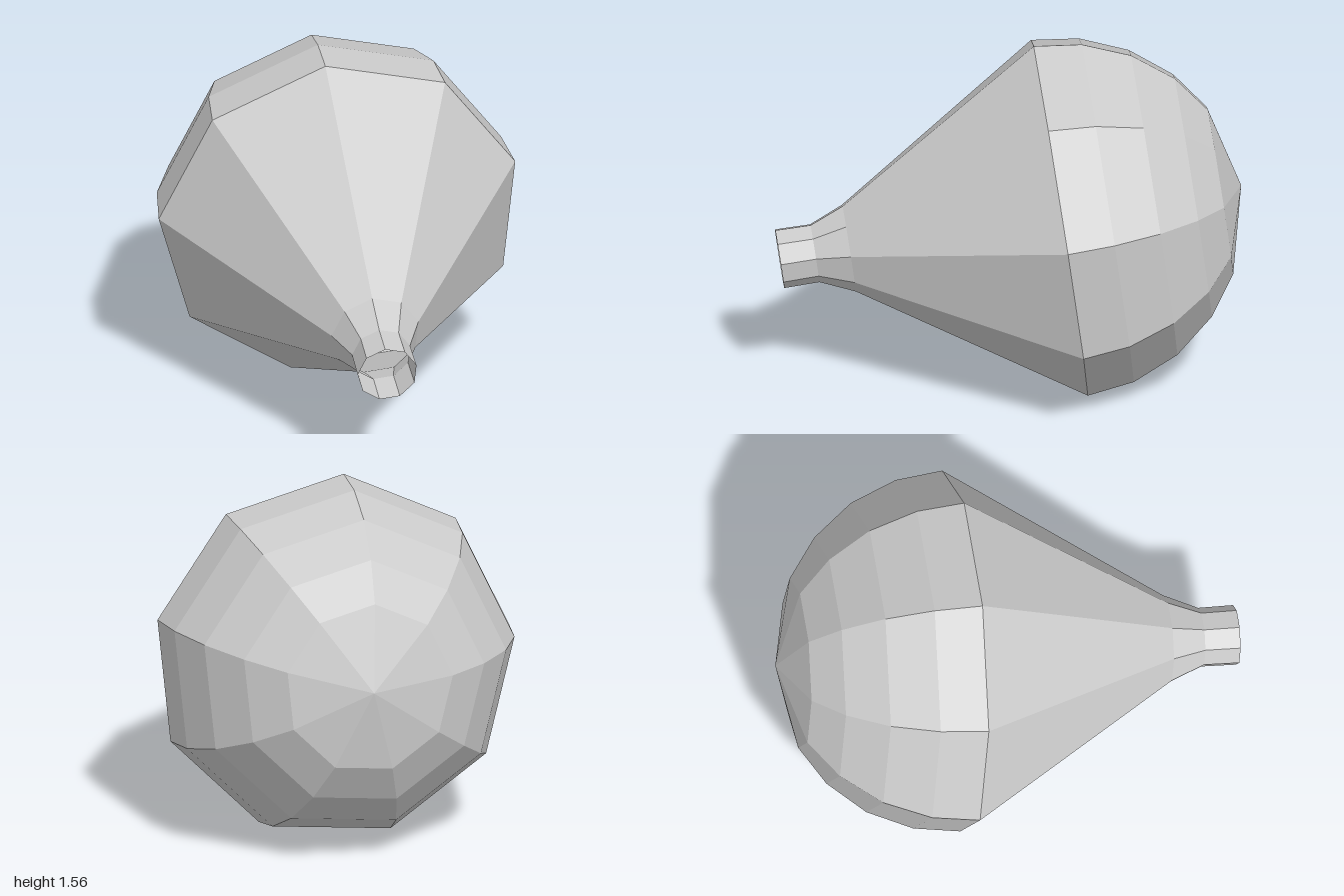
import * as THREE from 'three';

const SIDES = 9;
const RADIUS = 0.8;

// Faceted shell of revolution from [radius, distance along axis] pairs
function shell(name, profile, material) {
  const points = profile.map(([r, t]) => new THREE.Vector2(r, t));
  const mesh = new THREE.Mesh(new THREE.LatheGeometry(points, SIDES), material);
  mesh.name = name;
  return mesh;
}

export function createModel() {
  const group = new THREE.Group();
  group.name = 'bulb';
  const material = new THREE.MeshStandardMaterial({
    color: 0xcccccc, flatShading: true, side: THREE.DoubleSide,
  });

  const body = new THREE.Group();
  body.name = 'body';

  // Hemispherical back, from the pole to the widest ring
  const dome = [90, 62, 47, 31, 15, 0].map((deg) => {
    const a = THREE.MathUtils.degToRad(deg);
    return [deg === 90 ? 0 : RADIUS * Math.cos(a), -RADIUS * Math.sin(a)];
  });
  body.add(shell('dome', dome, material));

  // Long cone flowing into a short open neck
  body.add(shell('taperedCone', [[RADIUS, 0], [0.195, 0.925]], material));
  body.add(shell('openNeck', [[0.195, 0.925], [0.13, 1.075], [0.132, 1.23]], material));

  // Tilt: local y runs out of the neck, local z points at one corner of the widest ring
  const axis = new THREE.Vector3(-0.26, -0.131, 0.957).normalize();
  const corner = new THREE.Vector3(-0.104, 0.789, 0.079);
  const side = new THREE.Vector3().crossVectors(axis, corner).normalize();
  corner.crossVectors(side, axis);
  body.quaternion.setFromRotationMatrix(new THREE.Matrix4().makeBasis(side, axis, corner));
  body.position.set(0.004, 0.771, -0.219);

  group.add(body);
  return group;
}
